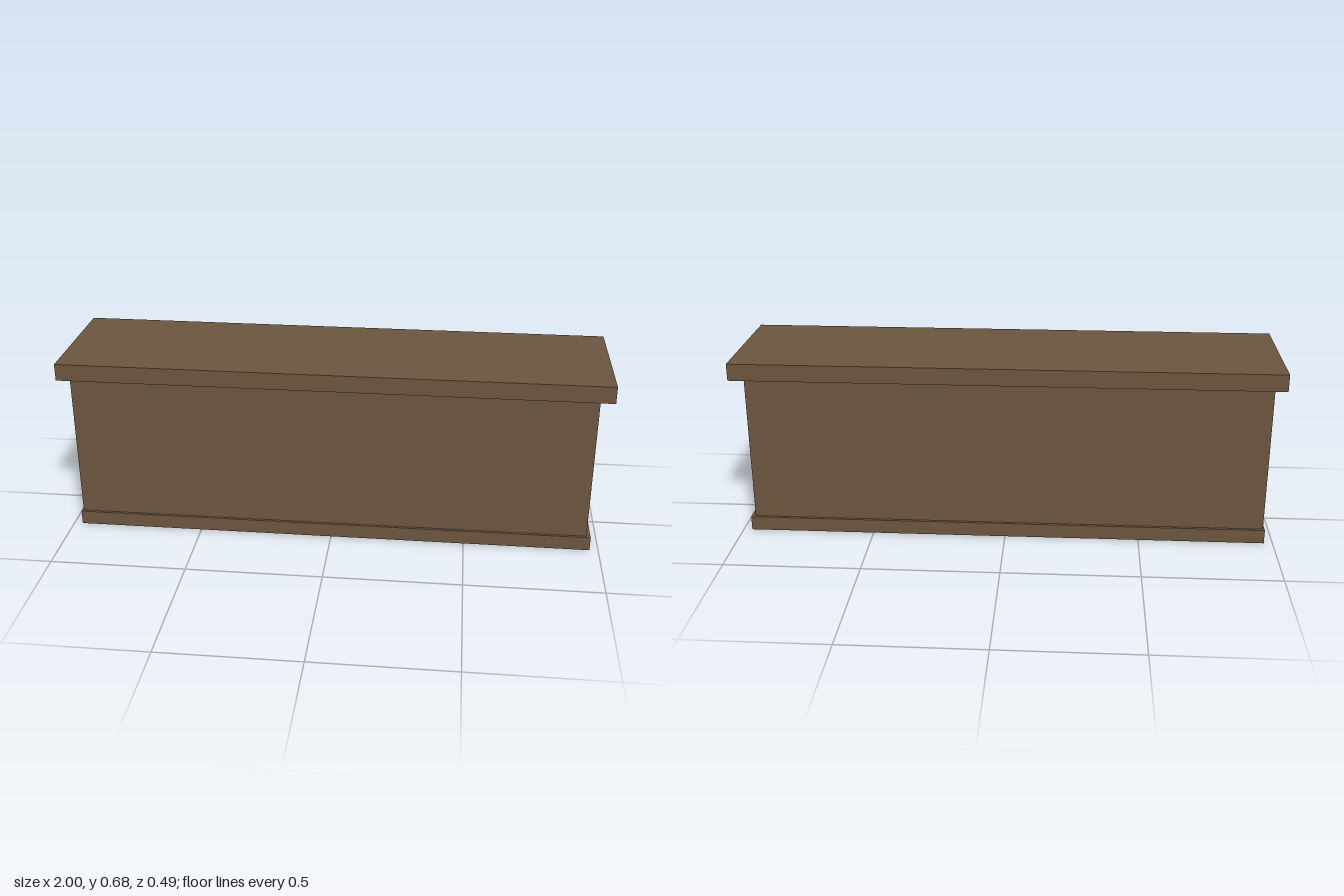
import * as THREE from 'three';

// Rectangular outlines: [x min, x max, z min, z max]
const WALL = [-0.962, 0.953, -0.204, 0.205];
const BAND = [-0.968, 0.968, -0.215, 0.215];
const BAND_TOP = 0.053;
const CAP_BOTTOM = 0.612;
const CAP_TOP = 0.675;

// Four corners of an outline at height y, counter-clockwise from above
function corners([x0, x1, z0, z1], y) {
  return [[x0, y, z1], [x1, y, z1], [x1, y, z0], [x0, y, z0]];
}

// Flat-sided open skin between a lower and an upper rectangle
function skin(lowRect, lowY, highRect, highY) {
  const low = corners(lowRect, lowY);
  const high = corners(highRect, highY);
  const positions = [];
  for (let i = 0; i < 4; i++) {
    const j = (i + 1) % 4;
    positions.push(...low[i], ...low[j], ...high[j], ...low[i], ...high[j], ...high[i]);
  }
  const geometry = new THREE.BufferGeometry();
  geometry.setAttribute('position', new THREE.Float32BufferAttribute(positions, 3));
  geometry.computeVertexNormals();
  return geometry;
}

export function createModel() {
  const model = new THREE.Group();
  model.name = 'counter';
  const wood = new THREE.MeshStandardMaterial({ color: 0x6b543e, side: THREE.DoubleSide });
  wood.name = 'brown wood';

  const add = (name, geometry) => {
    const mesh = new THREE.Mesh(geometry, wood);
    mesh.name = name;
    model.add(mesh);
    return mesh;
  };

  // Hollow base, open underneath, with a narrow ledge up to the walls
  add('baseBand', skin(BAND, 0, BAND, BAND_TOP));
  add('baseLedge', skin(BAND, BAND_TOP, WALL, BAND_TOP));
  add('walls', skin(WALL, BAND_TOP, WALL, CAP_BOTTOM));

  // Overhanging slab on top
  const top = add('countertop', new THREE.BoxGeometry(2, CAP_TOP - CAP_BOTTOM, 0.492));
  top.position.y = (CAP_TOP + CAP_BOTTOM) / 2;

  return model;
}
